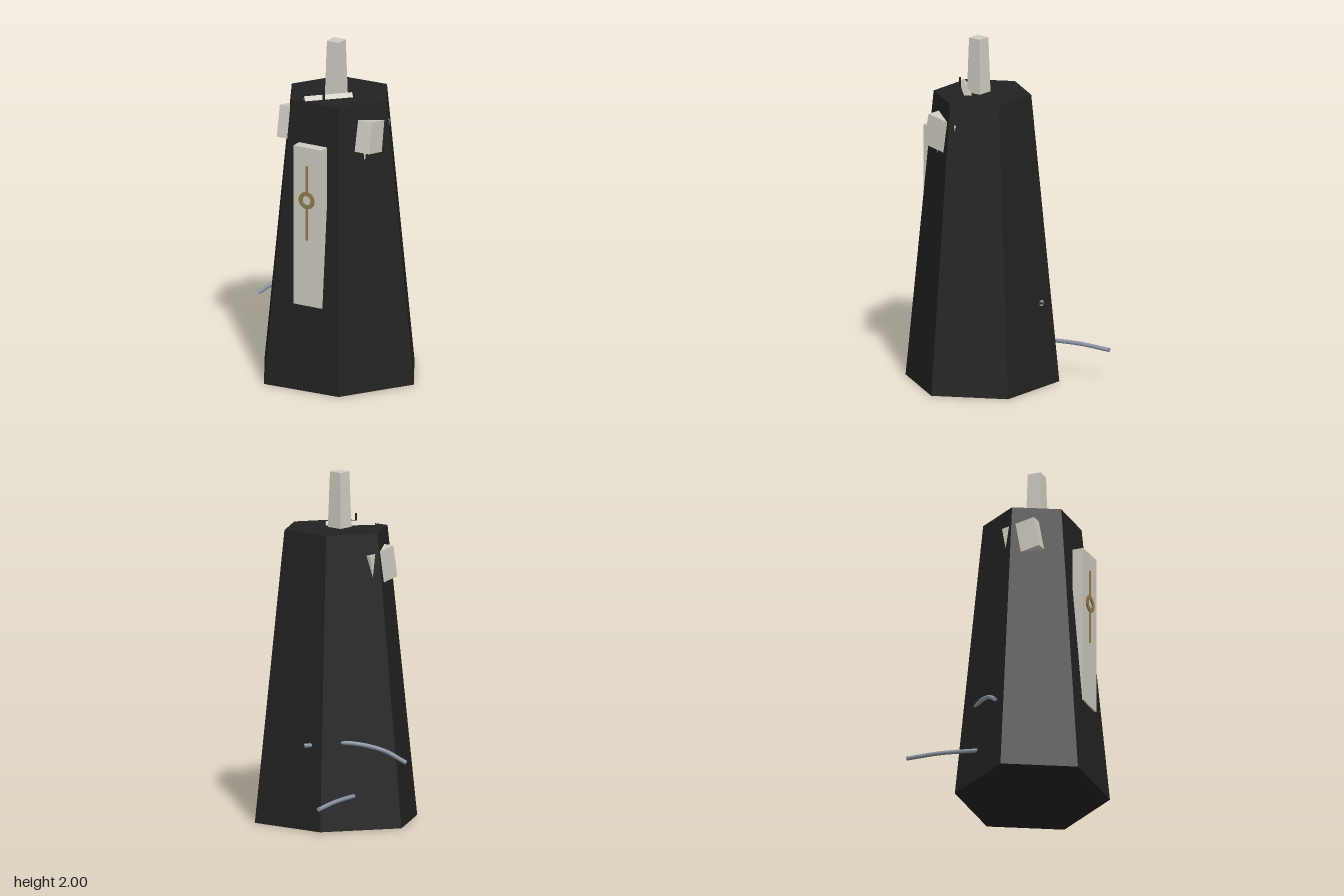
import * as THREE from 'three';

const mat = (name, color, side = THREE.FrontSide) => {
  const m = new THREE.MeshStandardMaterial({ color, side });
  m.name = name;
  return m;
};

export function createModel() {
  const group = new THREE.Group();
  const black = mat('black shell', 0x222222);
  const pale = mat('pale stone', 0xcfcbc1);
  const brass = mat('brass', 0x947d4f);
  const steel = mat('blue grey steel', 0x8c93a3, THREE.DoubleSide);

  const add = (name, geo, material, x = 0, y = 0, z = 0) => {
    const mesh = new THREE.Mesh(geo, material);
    mesh.name = name;
    mesh.position.set(x, y, z);
    group.add(mesh);
    return mesh;
  };
  const flat = (geo) => {
    const g = geo.toNonIndexed();
    g.computeVertexNormals();
    return g;
  };

  const cx = 0.0285;

  // Slightly skewed six-sided tapering tower
  const tower = new THREE.CylinderGeometry(0.635, 1, 1.68, 6);
  tower.applyMatrix4(new THREE.Matrix4().set(
    0.405, 0, -0.259, 0,
    0, 1, 0, 0,
    0.21, 0, 0.402, 0,
    0, 0, 0, 1));
  add('body', flat(tower), black, cx, 0.84, 0.098);

  // Tapered square post on the roof
  const post = new THREE.CylinderGeometry(0.039 * Math.SQRT2, 0.048 * Math.SQRT2, 0.34, 4);
  post.rotateY(Math.PI / 4);
  add('roofPost', flat(post), pale, 0.0265, 1.83, 0.127);

  // Low ridged bar lying diagonally on the roof
  const ridge = new THREE.Shape([
    new THREE.Vector2(-0.025, 0),
    new THREE.Vector2(0.025, 0),
    new THREE.Vector2(0, 0.025)]);
  const bar = new THREE.ExtrudeGeometry(ridge, { depth: 0.28, bevelEnabled: false });
  bar.translate(0, 0, -0.14);
  add('roofBar', bar, pale, 0.0285, 1.678, 0.221).rotation.y = -Math.PI / 4;
  add('roofPin', new THREE.CylinderGeometry(0.006, 0.006, 0.1, 6), black, 0.025, 1.69, 0.265);

  // Front panel with a ring and needle
  add('frontPanel', new THREE.BoxGeometry(0.184, 0.95, 0.064), pale, cx, 0.975, 0.423);
  add('needleUpper', new THREE.BoxGeometry(0.013, 0.165, 0.009), brass, 0.026, 1.258, 0.458);
  add('needleLower', new THREE.BoxGeometry(0.013, 0.2, 0.009), brass, 0.026, 0.995, 0.458);
  const dial = new THREE.Shape().absarc(0, 0, 0.051, 0, Math.PI * 2, false);
  dial.holes.push(new THREE.Path().absarc(0, 0, 0.027, 0, Math.PI * 2, true));
  add('dialRing', new THREE.ExtrudeGeometry(dial, { depth: 0.009, bevelEnabled: false, curveSegments: 16 }),
    brass, 0.026, 1.135, 0.454);

  // Tilted blocks set into the sides
  for (const [name, x0, x1] of [['leftBlock', 0.23, 0.331], ['rightBlock', -0.276, -0.203]]) {
    add(name, new THREE.BoxGeometry(x1 - x0, 0.185, 0.202), pale, (x0 + x1) / 2, 1.484, 0.163)
      .rotation.x = -0.185;
  }
  const spike = new THREE.ConeGeometry(0.012, 0.09, 4);
  spike.rotateX(Math.PI);
  add('blockSpike', flat(spike), pale, 0.272, 1.375, 0.228);

  // Bent pipes running out of the rear
  const pipes = {
    upperPipe: [[-0.498, 0.385, 0.105], [-0.4, 0.457, 0.018], [-0.25, 0.5, -0.118], [-0.055, 0.48, -0.265]],
    lowerPipe: [[-0.375, 0.183, -0.503], [-0.333, 0.197, -0.31], [-0.28, 0.195, -0.09]],
  };
  for (const [name, pts] of Object.entries(pipes)) {
    const curve = new THREE.CatmullRomCurve3(pts.map((p) => new THREE.Vector3(...p)));
    add(name, new THREE.TubeGeometry(curve, 20, 0.0125, 8), steel);
    // Disc closing the free end
    const cap = add(name + 'Cap', new THREE.CircleGeometry(0.0125, 8), steel, ...pts[0]);
    cap.lookAt(curve.getPoint(0).sub(curve.getTangent(0)));
  }

  return group;
}
